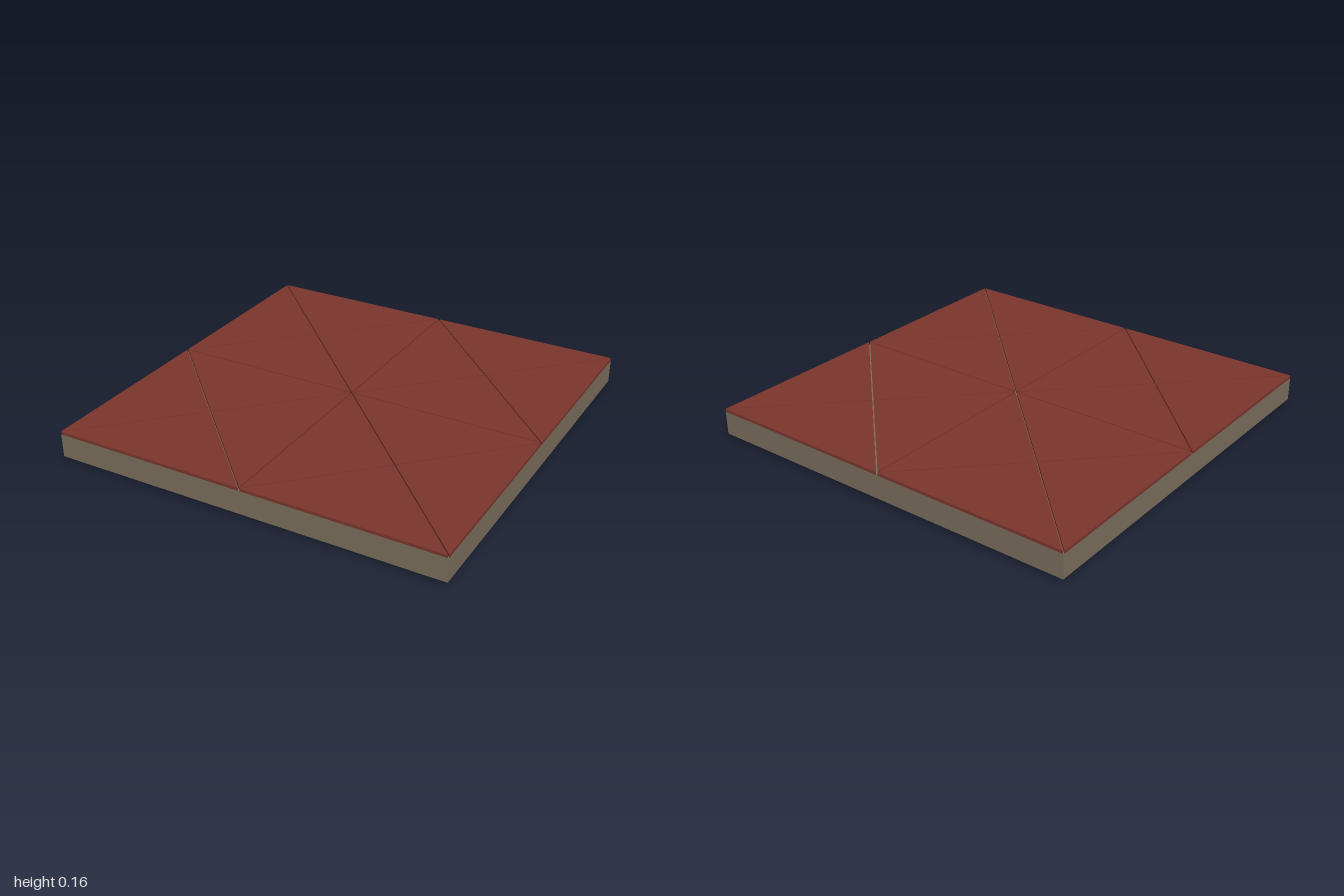
import * as THREE from 'three';

const stone = new THREE.MeshStandardMaterial({ color: 0x786d5c });
stone.name = 'stone';
const terracotta = new THREE.MeshStandardMaterial({ color: 0x7a352c });
terracotta.name = 'terracotta';

// Flat prism standing on y0, outlined in the x/z plane
function prism(shape, y0, y1, material, name) {
  const geo = new THREE.ExtrudeGeometry(shape, { depth: y1 - y0, bevelEnabled: false });
  geo.rotateX(-Math.PI / 2);
  geo.translate(0, y0, 0);
  const mesh = new THREE.Mesh(geo, material);
  mesh.name = name;
  return mesh;
}

// Outline of a plus with rounded inner corners, inset by o
function plusOutline(o) {
  const a = 0.33 - o, e = 0.82 - o, c = 0.6, r = 0.27 + o;
  const quarter = [new THREE.Vector2(e, a)];
  for (let i = 0; i <= 16; i++) {
    const t = -Math.PI / 2 * (1 + i / 16);
    quarter.push(new THREE.Vector2(c + r * Math.cos(t), c + r * Math.sin(t)));
  }
  quarter.push(new THREE.Vector2(a, e));
  const points = [];
  const origin = new THREE.Vector2();
  for (let q = 0; q < 4; q++) {
    for (const p of quarter) points.push(p.clone().rotateAround(origin, q * Math.PI / 2));
  }
  return points;
}

export function createModel() {
  const model = new THREE.Group();
  model.name = 'cofferedSlab';

  // Square slab with a recessed, stepped underside: a four-sided lathe
  const profile = [
    [0, 0.1], [0.855, 0.1], [0.855, 0.075], [0.875, 0.075], [0.875, 0.05],
    [0.892, 0.05], [0.892, 0.025], [0.908, 0.025], [0.908, 0], [0.935, 0],
    [0.947, 0.02], [1, 0.02], [1, 0.14], [0, 0.14],
  ].map(([x, y]) => new THREE.Vector2(x * Math.SQRT2, y));
  const slabGeo = new THREE.LatheGeometry(profile, 4, Math.PI / 4).toNonIndexed();
  slabGeo.computeVertexNormals();
  const slab = new THREE.Mesh(slabGeo, stone);
  slab.name = 'slab';
  model.add(slab);

  // Stepped plus-shaped moulding on the underside
  const moulding = new THREE.Group();
  moulding.name = 'plusMoulding';
  const width = 0.2;
  [0, 0.022, 0.045, 0.067].forEach((inset, i) => {
    const shape = new THREE.Shape(plusOutline(inset));
    shape.holes.push(new THREE.Path(plusOutline(width - inset).reverse()));
    moulding.add(prism(shape, 0.08 - i * 0.02, 0.1 - i * 0.02, stone, 'mouldingStep'));
  });
  model.add(moulding);

  // Sixteen triangular floor tiles with fine joints, four to each quarter
  const tiles = new THREE.Group();
  tiles.name = 'floorTiles';
  const gap = 0.003;
  for (const sx of [-1, 1]) {
    for (const sy of [-1, 1]) {
      for (let k = 0; k < 4; k++) {
        const angle = k * Math.PI / 2;
        const dx = Math.round(-Math.sin(angle)), dy = Math.round(Math.cos(angle));
        const outer = dx === sx || dy === sy;
        const base = outer ? 0.5 : 0.5 - gap;
        const half = base - gap * Math.SQRT2;
        const centre = new THREE.Vector2(sx * 0.5, sy * 0.5);
        const corners = [[0, gap * Math.SQRT2], [half, base], [-half, base]].map(([x, y]) =>
          new THREE.Vector2(x, y).rotateAround(new THREE.Vector2(), angle).add(centre));
        tiles.add(prism(new THREE.Shape(corners), 0.14, 0.155, terracotta, 'floorTile'));
      }
    }
  }
  model.add(tiles);

  return model;
}
